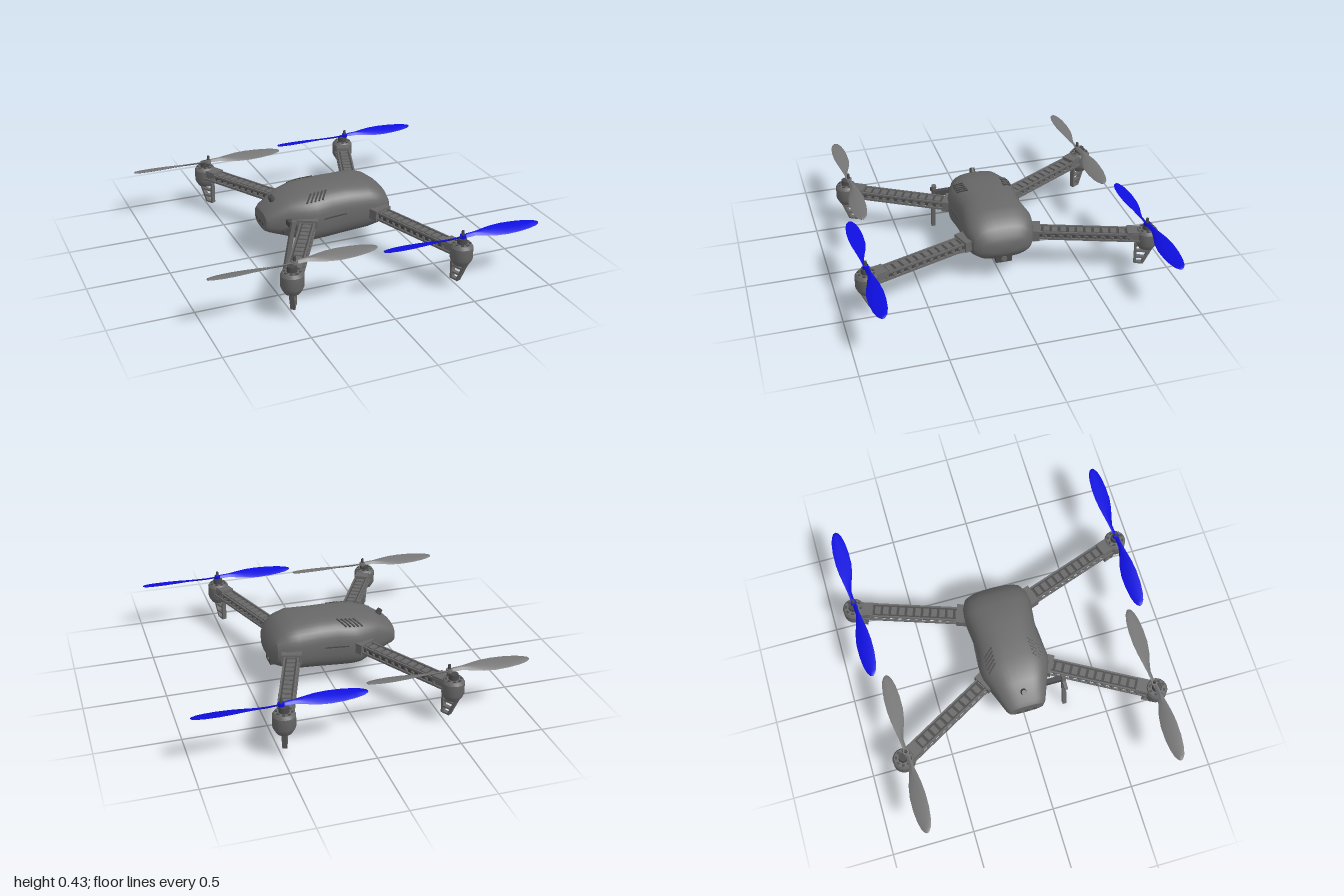
import * as THREE from 'three';
import { toCreasedNormals } from 'three/addons/utils/BufferGeometryUtils.js';

const mat = (name, color) => {
  const m = new THREE.MeshStandardMaterial({ color });
  m.name = name;
  return m;
};
const V = (x, y, z) => new THREE.Vector3(x, y, z);

// Closed skin over equal-sized rings running along +x
function loft(rings, crease) {
  const n = rings[0].length, pos = [], idx = [];
  rings.forEach(r => r.forEach(p => pos.push(p.x, p.y, p.z)));
  for (let i = 0; i < rings.length - 1; i++) {
    for (let j = 0; j < n; j++) {
      const a = i * n + j, b = i * n + (j + 1) % n;
      idx.push(a, a + n, b, b, a + n, b + n);
    }
  }
  [0, rings.length - 1].forEach((i, end) => {
    const c = rings[i].reduce((s, p) => s.add(p), V(0, 0, 0)).divideScalar(n);
    const ci = pos.length / 3;
    pos.push(c.x, c.y, c.z);
    for (let j = 0; j < n; j++) {
      const a = i * n + j, b = i * n + (j + 1) % n;
      idx.push(ci, end ? b : a, end ? a : b);
    }
  });
  const g = new THREE.BufferGeometry();
  g.setAttribute('position', new THREE.Float32BufferAttribute(pos, 3));
  g.setIndex(idx);
  g.computeVertexNormals();
  return toCreasedNormals(g, crease);
}

// Body stations: x, half width, bottom, top
const STATIONS = [
  [-0.42, 0.105, 0.195, 0.305], [-0.40, 0.122, 0.185, 0.325], [-0.29, 0.165, 0.145, 0.398],
  [-0.18, 0.208, 0.103, 0.420], [-0.13, 0.214, 0.100, 0.427], [-0.03, 0.200, 0.100, 0.434],
  [0.08, 0.197, 0.108, 0.435], [0.22, 0.213, 0.124, 0.433], [0.29, 0.205, 0.140, 0.408],
  [0.345, 0.180, 0.160, 0.368], [0.373, 0.140, 0.190, 0.315], [0.385, 0.085, 0.215, 0.290],
];

// Point on the body skin at x and angle t (0 = left side seen from the tail, PI/2 = top)
function skin(x, t) {
  let i = 0;
  while (i < STATIONS.length - 2 && x > STATIONS[i + 1][0]) i++;
  const a = STATIONS[i], b = STATIONS[i + 1], k = (x - a[0]) / (b[0] - a[0]);
  const [, w, lo, hi] = a.map((v, q) => v + (b[q] - v) * k);
  const pw = v => Math.sign(v) * Math.abs(v) ** (2 / 2.8);
  return V(x, (lo + hi) / 2 + (hi - lo) / 2 * pw(Math.sin(t)), w * pw(Math.cos(t)));
}

export function createModel() {
  const shell = mat('shell grey', 0x686868);
  const dark = mat('dark grey', 0x484848);
  const propGrey = mat('propeller grey', 0x757575);
  const propBlue = mat('propeller blue', 0x0e0ee0);
  const model = new THREE.Group();
  model.name = 'quadcopter';

  const add = (parent, name, geo, material, x = 0, y = 0, z = 0) => {
    const m = new THREE.Mesh(geo, material);
    m.name = name;
    m.position.set(x, y, z);
    parent.add(m);
    return m;
  };
  const box = (parent, name, w, h, d, material, x, y, z) =>
    add(parent, name, new THREE.BoxGeometry(w, h, d), material, x, y, z);
  // Straight bar between two points
  const bar = (parent, name, p, q, w, h, material) => {
    const m = new THREE.Mesh(new THREE.BoxGeometry(w, h, p.distanceTo(q)), material);
    m.name = name;
    m.position.copy(p).lerp(q, 0.5);
    m.lookAt(q);
    parent.add(m);
  };

  // Body shell
  const body = new THREE.Group();
  body.name = 'body';
  model.add(body);
  const SEG = 40;
  add(body, 'bodyShell', loft(STATIONS.map(s =>
    Array.from({ length: SEG }, (_, j) => skin(s[0], j / SEG * Math.PI * 2))), 0.5), shell);

  // Cooling vents and side slots
  for (const side of [1, -1]) {
    const at = (x, t) => { const p = skin(x, t); p.z *= side; return p; };
    for (let k = 0; k < 5; k++) {
      const x = -0.185 + k * 0.025;
      bar(body, 'vent', at(x, 0.72), at(x + 0.045, 1.12), 0.009, 0.012, dark);
    }
    bar(body, 'sideSlot', at(-0.09, 0.03), at(0.06, 0.03), 0.008, 0.006, dark);
  }
  // Camera window, belly plate, tail sockets and top button
  box(body, 'cameraWindow', 0.03, 0.05, 0.1, dark, 0.348, 0.163, 0);
  const lens = add(body, 'cameraLens', new THREE.CylinderGeometry(0.018, 0.018, 0.02, 16), shell, 0.358, 0.163, 0);
  lens.rotation.z = Math.PI / 2;
  box(body, 'bellyPlate', 0.2, 0.008, 0.16, shell, -0.08, 0.1, 0);
  for (const z of [-0.05, 0, 0.05]) box(body, 'tailSocket', 0.012, 0.02, 0.025, dark, -0.421, 0.24, z);
  const button = add(body, 'topButton', new THREE.CylinderGeometry(0.016, 0.02, 0.035, 12), dark, -0.35, 0.375, 0);
  button.rotation.z = 0.5;

  // Hanging antenna with its bracket
  const antenna = new THREE.Group();
  antenna.name = 'antenna';
  model.add(antenna);
  bar(antenna, 'antennaBracket', V(-0.30, 0.28, 0.13), V(-0.30, 0.28, 0.262), 0.03, 0.035, dark);
  bar(antenna, 'antennaHinge', V(-0.375, 0.27, 0.262), V(-0.29, 0.29, 0.262), 0.022, 0.022, dark);
  bar(antenna, 'antennaRod', V(-0.368, 0.003, 0.262), V(-0.308, 0.33, 0.262), 0.024, 0.026, shell);

  // Motor pod profile, shared by all arms
  const podGeo = toCreasedNormals(new THREE.LatheGeometry([
    [0, 0.172], [0.045, 0.175], [0.06, 0.2], [0.066, 0.215], [0.066, 0.285], [0.055, 0.303], [0, 0.305],
  ].map(p => new THREE.Vector2(...p)), 24), 0.5);

  // Two twisted blades joined at the hub: radius, half chord, pitch, sweep
  const BLADE = [[0.03, 0.014, 0.6, 0.004], [0.08, 0.015, 0.55, 0.008], [0.14, 0.028, 0.45, 0.006],
    [0.2, 0.042, 0.36, 0.002], [0.27, 0.05, 0.28, 0], [0.35, 0.049, 0.22, 0],
    [0.42, 0.041, 0.18, 0], [0.465, 0.029, 0.15, 0], [0.488, 0.015, 0.13, 0], [0.495, 0.004, 0.12, 0]];
  const propGeo = loft([...BLADE.map(b => [-1, ...b]).reverse(), ...BLADE.map(b => [1, ...b])]
    .map(([s, r, c, pitch, sweep]) => Array.from({ length: 8 }, (_, j) => {
      const t = j / 8 * Math.PI * 2, a = pitch * s;
      const y = Math.sin(t) * Math.min(0.005, c * 0.35), z = Math.cos(t) * c;
      return V(s * r, y * Math.cos(a) - z * Math.sin(a), y * Math.sin(a) + z * Math.cos(a) - s * sweep);
    })), 1);

  // Arm in its own frame: motor at the origin, +z pointing away from the body
  function buildArm(name, root, motor, propAt, propMat) {
    const arm = new THREE.Group();
    arm.name = name;
    const dx = motor[0] - root[0], dz = motor[1] - root[1];
    const len = Math.hypot(dx, dz) + 0.06;
    arm.position.set(motor[0], 0, motor[1]);
    arm.rotation.y = Math.atan2(dx, dz);
    model.add(arm);

    // Beam, ribbed panels and side rails
    box(arm, 'armBeam', 0.07, 0.03, len, dark, 0, 0.258, -len / 2);
    const count = 13, step = (len - 0.1) / count;
    for (let i = 0; i < count; i++) {
      const z = -0.075 - step * (i + 0.5);
      box(arm, 'armPanel', 0.05, 0.048, step * 0.68, shell, 0, 0.258, z);
      for (const s of [1, -1]) {
        bar(arm, 'railStrut', V(s * 0.032, 0.25, z - step / 2), V(s * 0.046, 0.25, z), 0.01, 0.02, shell);
      }
    }
    for (const s of [1, -1]) {
      box(arm, 'upperRail', 0.01, 0.012, len - 0.02, shell, s * 0.04, 0.277, -len / 2);
      box(arm, 'lowerRail', 0.01, 0.012, len - 0.02, shell, s * 0.046, 0.24, -len / 2);
    }
    box(arm, 'podNeck', 0.085, 0.065, 0.1, shell, 0, 0.262, -0.07);
    box(arm, 'rootCollar', 0.12, 0.065, 0.1, shell, 0, 0.262, -len + 0.06);

    // Motor pod with cover ring
    add(arm, 'motorPod', podGeo, shell);
    for (let i = 0; i < 8; i++) {
      const a = i / 8 * Math.PI * 2;
      add(arm, 'podSlot', new THREE.BoxGeometry(0.016, 0.006, 0.012), dark,
        Math.sin(a) * 0.044, 0.304, Math.cos(a) * 0.044).rotation.y = a;
    }
    add(arm, 'motor', new THREE.CylinderGeometry(0.027, 0.03, 0.035, 16), dark, 0, 0.318, 0);

    // Ladder-shaped landing leg
    const outer = k => V(0, 0.2 - 0.14 * k, 0.045 - 0.062 * k);
    const inner = k => V(0, 0.2 - 0.14 * k, -0.062 + 0.002 * k);
    bar(arm, 'legOuterRail', outer(0), outer(1), 0.028, 0.014, shell);
    bar(arm, 'legInnerRail', inner(0), inner(1), 0.028, 0.014, shell);
    for (const k of [0.1, 0.4, 0.7, 0.98]) bar(arm, 'legRung', outer(k), inner(k), 0.024, 0.011, shell);

    // Propeller
    const prop = new THREE.Group();
    prop.name = name + 'Propeller';
    prop.position.set(propAt[0], 0.345, propAt[1]);
    model.add(prop);
    add(prop, 'blades', propGeo, propMat);
    add(prop, 'hub', new THREE.CylinderGeometry(0.018, 0.018, 0.022, 16), propMat);
    add(prop, 'shaft', new THREE.CylinderGeometry(0.008, 0.012, 0.065, 12), dark, 0, 0.006, 0);
  }

  buildArm('frontLeftArm', [0.265, 0.2], [0.487, 0.848], [0.49, 0.848], propBlue);
  buildArm('backLeftArm', [0.265, -0.2], [0.49, -0.852], [0.503, -0.842], propBlue);
  buildArm('frontRightArm', [-0.18, 0.18], [-0.523, 0.785], [-0.503, 0.77], propGrey);
  buildArm('backRightArm', [-0.18, -0.18], [-0.523, -0.79], [-0.505, -0.765], propGrey);
  return model;
}
